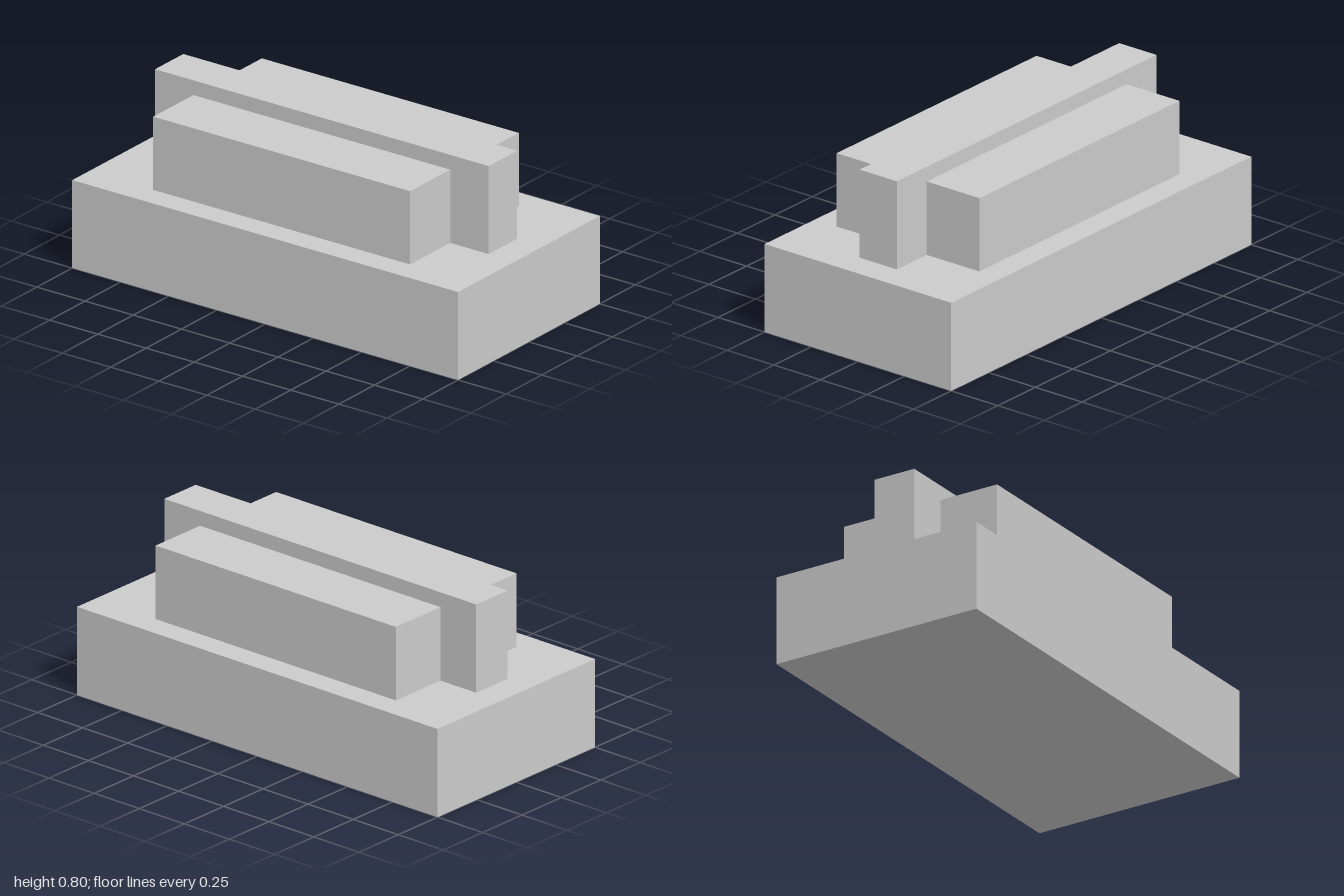
import * as THREE from 'three';

export function createModel() {
  const group = new THREE.Group();
  const material = new THREE.MeshStandardMaterial({ color: 0xcccccc, flatShading: true });

  // Box resting on height y, centred on x = 0
  const addBox = (name, width, height, depth, y, z = 0) => {
    const mesh = new THREE.Mesh(new THREE.BoxGeometry(width, height, depth), material);
    mesh.name = name;
    mesh.position.set(0, y + height / 2, z);
    group.add(mesh);
  };

  const baseHeight = 0.4;
  const slabDepth = 0.2;
  const blockDepth = 0.283;

  // Base plinth
  addBox('base', 2, baseHeight, 1, 0);

  // Tall central slab
  addBox('centreSlab', 1.73, 0.4, slabDepth, baseHeight);

  // Lower blocks against the slab's front and back
  for (const [name, side] of [['frontBlock', 1], ['backBlock', -1]]) {
    addBox(name, 1.332, 0.333, blockDepth, baseHeight, side * (slabDepth + blockDepth) / 2);
  }

  return group;
}
